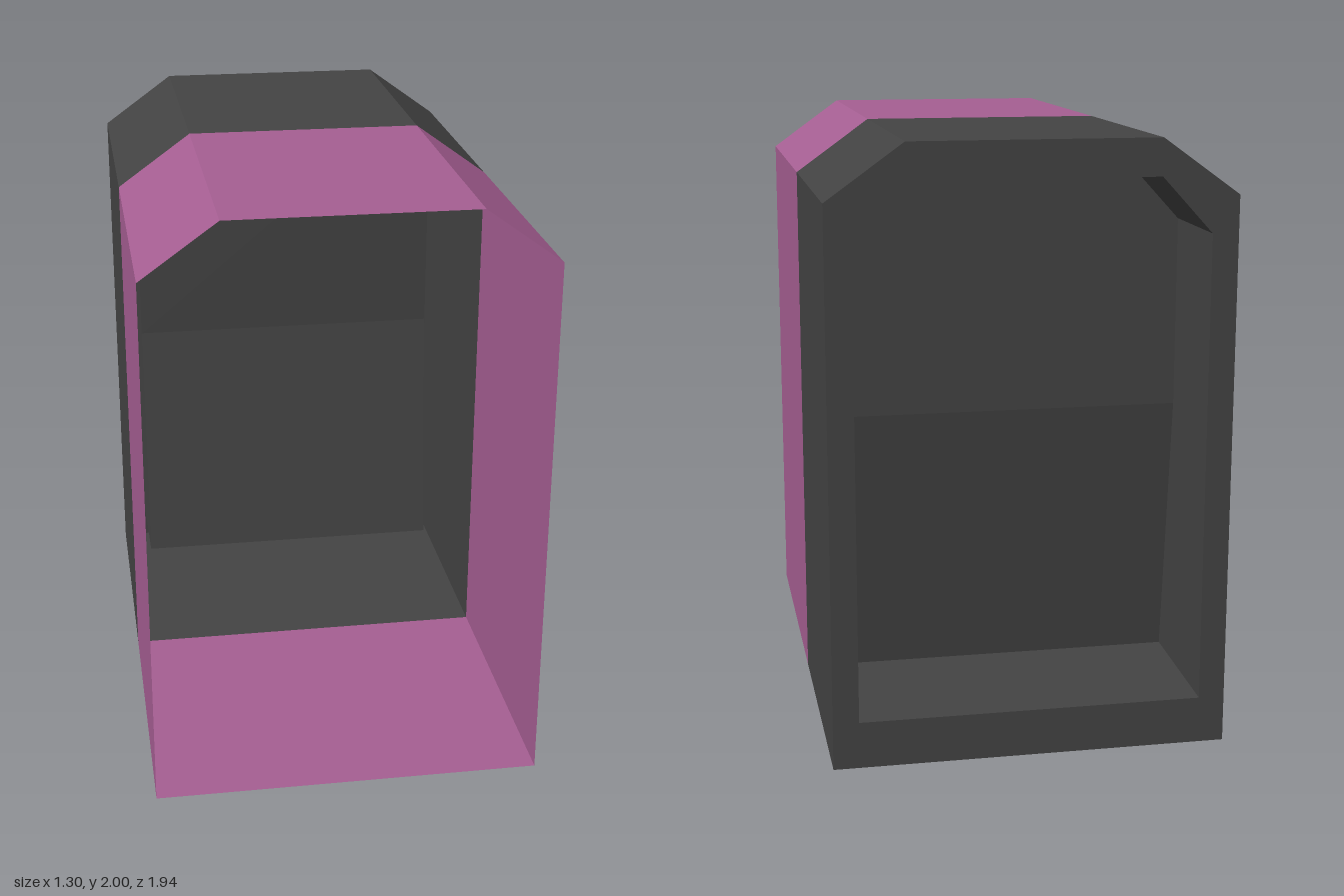
import * as THREE from 'three';

const BACK = -0.97, SPLIT = -0.055, FRONT = 0.97;

// Chamfered-top outline of the shell, counter-clockwise seen from the front
const OUTLINE = [[-0.65, 0], [0.65, 0], [0.65, 1.82], [0.4, 2], [-0.4, 2], [-0.65, 1.82]];
// Opening in the back wall
const OPENING = [[-0.565, 0.155], [0.565, 0.155], [0.565, 1.07], [0.565, 1.7],
  [0.4, 1.88], [-0.4, 1.88], [-0.565, 1.7], [-0.565, 1.07]];
// Inner end of the recess: upright above, sloping inwards below the bend
const RECESS = OPENING.map(([x, y], i) => (i < 2 ? [x, 0.17, -0.495] : [x, y, -0.595]));

const atZ = (ring, z) => ring.map(([x, y]) => [x, y, z]);

// Convex polygons to flat-shaded triangles
function faces(polygons) {
  const positions = [];
  for (const p of polygons) {
    for (let i = 1; i < p.length - 1; i++) positions.push(...p[0], ...p[i], ...p[i + 1]);
  }
  const geometry = new THREE.BufferGeometry();
  geometry.setAttribute('position', new THREE.Float32BufferAttribute(positions, 3));
  geometry.computeVertexNormals();
  return geometry;
}

// Band of quads between two closed rings
function band(a, b) {
  return faces(a.map((p, i) => {
    const j = (i + 1) % a.length;
    return [p, a[j], b[j], b[i]];
  }));
}

export function createModel() {
  const group = new THREE.Group();
  const material = (name, color) =>
    new THREE.MeshStandardMaterial({ name, color, side: THREE.DoubleSide });
  const charcoal = material('charcoal', 0x434343);
  const mauve = material('mauve', 0xa55e92);

  const add = (name, geometry, mat) => {
    const mesh = new THREE.Mesh(geometry, mat);
    mesh.name = name;
    group.add(mesh);
    return mesh;
  };

  // Thin open shell in two colours
  add('frontShell', band(atZ(OUTLINE, SPLIT), atZ(OUTLINE, FRONT)), mauve);
  add('rearShell', band(atZ(OUTLINE, BACK), atZ(OUTLINE, SPLIT)), charcoal);

  // Back wall with the recess opening
  const points = (ring) => ring.map(([x, y]) => new THREE.Vector2(x, y));
  const wall = new THREE.Shape(points(OUTLINE));
  wall.holes.push(new THREE.Path(points(OPENING)));
  add('backWall', new THREE.ShapeGeometry(wall), charcoal).position.z = BACK;

  // Recess walls and its bent end panel
  add('recessWalls', band(RECESS, atZ(OPENING, BACK)), charcoal);
  const upper = RECESS.slice(2).reverse();
  const lower = [RECESS[0], RECESS[7], RECESS[2], RECESS[1]];
  add('recessPanel', faces([upper, lower]), charcoal);

  return group;
}
